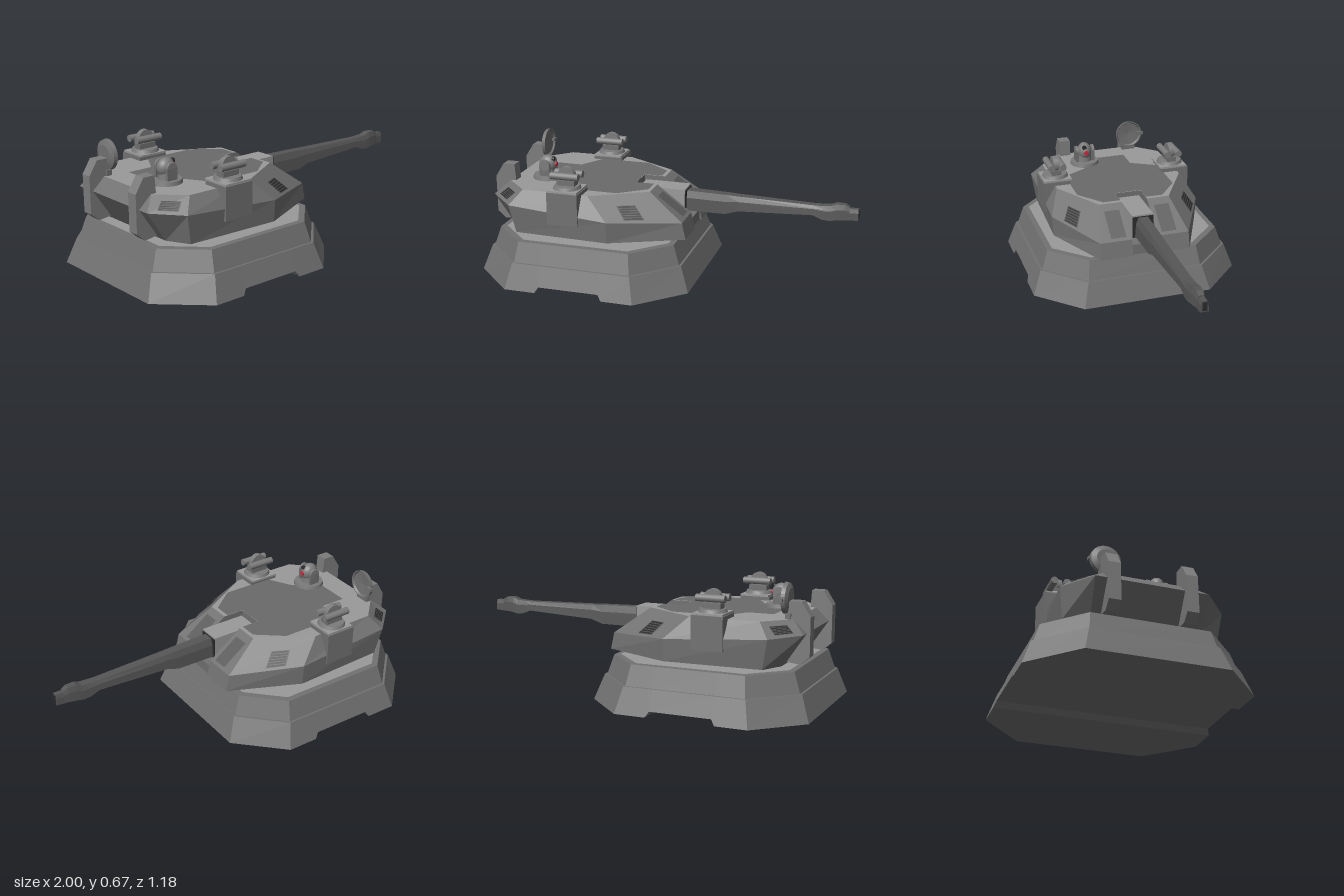
import * as THREE from 'three';

const paint = (color, flatShading = true) =>
  new THREE.MeshStandardMaterial({ color, flatShading, side: THREE.DoubleSide });
const body = paint(0x727272);
const smooth = paint(0x7c7c7c, false);
const light = paint(0x9a9a9a);
const dark = paint(0x6a6a6a);
const panel = paint(0x5c5c5c);
const steel = paint(0x565656);
const black = paint(0x2c2c2c);
const red = paint(0xd02840, false);

function add(parent, name, geo, mat, x = 0, y = 0, z = 0) {
  const m = new THREE.Mesh(geo, mat);
  m.name = name;
  m.position.set(x, y, z);
  parent.add(m);
  return m;
}
function box(parent, name, mat, x0, x1, y0, y1, z0, z1) {
  return add(parent, name, new THREE.BoxGeometry(x1 - x0, y1 - y0, z1 - z0), mat,
    (x0 + x1) / 2, (y0 + y1) / 2, (z0 + z1) / 2);
}
const outline = pts => new THREE.Shape(pts.map(p => new THREE.Vector2(...p)));
const mirror = half => half.map(([x, y, z]) => [x, y, -z]);
function geometry(tris) {
  const g = new THREE.BufferGeometry();
  g.setAttribute('position', new THREE.Float32BufferAttribute(tris.flat(), 3));
  g.computeVertexNormals();
  return g;
}
// Each ring lists its +z half; the -z half is mirrored. Rings are joined and, if wanted, both ends capped.
function loft(halves, capped = true) {
  const tris = [];
  const quad = (a, b, c, d) => tris.push(a, b, c, a, c, d);
  const rings = halves.map(h => [...h, ...mirror(h).reverse()]);
  for (let r = 0; r + 1 < rings.length; r++) {
    const a = rings[r], b = rings[r + 1];
    a.forEach((p, i) => {
      const j = (i + 1) % a.length;
      quad(p, a[j], b[j], b[i]);
    });
  }
  if (capped) {
    const first = halves[0], last = halves[halves.length - 1];
    const f2 = mirror(first), l2 = mirror(last);
    for (let i = 0; i + 1 < first.length; i++) {
      quad(f2[i], f2[i + 1], first[i + 1], first[i]);
      quad(last[i], last[i + 1], l2[i + 1], l2[i]);
    }
  }
  return geometry(tris);
}
// Flat horizontal plate from the +z half of its outline
function plate(parent, name, half, mat, y) {
  const pts = [...half, ...mirror(half).reverse()].map(([x, , z]) => [x, -z]);
  add(parent, name, new THREE.ShapeGeometry(outline(pts)), mat, 0, y, 0).rotation.x = -Math.PI / 2;
}
// A thin patch lying on the facet a-b (lower edge) and d-c (upper edge)
function patch([a, b, c, d], u0, u1, v0, v1, lift, skew = 0) {
  const [A, B, C, D] = [a, b, c, d].map(p => new THREE.Vector3(...p));
  const n = B.clone().sub(A).cross(D.clone().sub(A)).normalize().multiplyScalar(lift);
  const at = (u, v) => A.clone().lerp(B, u + skew * v).lerp(D.clone().lerp(C, u + skew * v), v).add(n).toArray();
  const q = [at(u0, v0), at(u1, v0), at(u1, v1), at(u0, v1)];
  return geometry([q[0], q[1], q[2], q[0], q[2], q[3]]);
}

// Octagonal plinth with a channel across its underside
function plinth(g) {
  const ring = (y, hx, cz, cx, hz, notch = 0) => [
    [-hx, y, cz], [-cx, y, hz], [-0.185, y, hz], [-0.165, y + notch, hz - notch * 0.35],
    [0.165, y + notch, hz - notch * 0.35], [0.185, y, hz], [cx, y, hz], [hx, y, cz]];
  add(g, 'plinth', loft([
    ring(0, 0.588, 0.36, 0.355, 0.588, 0.03),
    ring(0.135, 0.54, 0.325, 0.325, 0.54),
    ring(0.135, 0.528, 0.32, 0.32, 0.528),
    ring(0.24, 0.493, 0.305, 0.305, 0.493),
  ]), body, -0.412, 0, 0);
  plate(g, 'plinthTop', [[-0.875, 0, 0.29], [-0.702, 0, 0.463], [-0.122, 0, 0.463], [0.051, 0, 0.29]], light, 0.242);
  add(g, 'turretRing', new THREE.CylinderGeometry(0.325, 0.325, 0.04, 40), smooth, -0.39, 0.25, 0);
}

// Faceted turret body, notched at the front for the gun
function turret(g) {
  const low = [[-0.83, 0.255, 0.28], [-0.77, 0.255, 0.40], [-0.25, 0.255, 0.42], [0.13, 0.255, 0.25],
    [0.13, 0.255, 0.073], [-0.2, 0.255, 0.073]];
  const mid = [[-0.94, 0.42, 0.29], [-0.80, 0.41, 0.42], [-0.25, 0.37, 0.427], [0.11, 0.345, 0.25],
    [0.11, 0.345, 0.073], [-0.2, 0.345, 0.073]];
  const top = [[-0.87, 0.485, 0.23], [-0.74, 0.485, 0.36], [-0.37, 0.485, 0.365], [-0.08, 0.485, 0.20],
    [-0.08, 0.485, 0.073], [-0.2, 0.485, 0.073]];
  add(g, 'turretBody', loft([low, mid, top], false), body);
  plate(g, 'turretFloor', low, body, 0.255);
  plate(g, 'deck', top, light, 0.485);
  plate(g, 'deckPanel', [[-0.74, 0, 0.14], [-0.6, 0, 0.14], [-0.52, 0, 0.28], [-0.24, 0, 0.28],
    [-0.1, 0, 0.17], [-0.1, 0, 0.073], [-0.2, 0, 0.073]], dark, 0.487);
  box(g, 'gunSill', body, -0.2, 0.117, 0.256, 0.315, -0.073, 0.073);

  for (const s of [1, -1]) {
    const facet = i => {
      const f = [mid[i], mid[i + 1], top[i + 1], top[i]];
      return s > 0 ? f : mirror(f);
    };
    // Vents: a dark plate with slats
    for (const [name, i, u0, u1, v0] of [['frontVent', 2, 0.25, 0.53, 0.08], ['rearVent', 0, 0.22, 0.75, 0.15]]) {
      add(g, name, patch(facet(i), u0, u1, v0, v0 + 0.52, s * 0.003, 0.1), steel);
      for (let k = 0; k < 6; k++)
        add(g, name + 'Slat', patch(facet(i), u0 + 0.015, u1 - 0.015, v0 + 0.02 + k * 0.083, v0 + 0.08 + k * 0.083,
          s * 0.005, 0.1), black);
    }
    // Panels on the sloping front
    const slope = [[0.11, 0.345, 0], [0.11, 0.345, s], [-0.08, 0.485, s], [-0.08, 0.485, 0]];
    add(g, 'frontPanel', patch(slope, 0.1, 0.185, 0.08, 0.8, -s * 0.003), panel);
  }
}

// Main gun with breech cover and muzzle
function gun(g) {
  const section = ([x, yb, yt, w]) => [[x, yt, w * 0.6], [x, yt - (yt - yb) * 0.35, w * 0.9], [x, yb, w]];
  box(g, 'breechCover', light, -0.185, 0.07, 0.33, 0.463, -0.06, 0.06);
  box(g, 'breechFront', black, 0.065, 0.075, 0.335, 0.455, -0.058, 0.058);
  add(g, 'barrel', loft([[0, 0.343, 0.453, 0.046], [0.29, 0.343, 0.446, 0.042], [0.36, 0.365, 0.443, 0.04],
    [0.82, 0.385, 0.432, 0.033]].map(section)), steel);
  add(g, 'muzzle', loft([[0.76, 0.382, 0.433, 0.034], [0.81, 0.363, 0.435, 0.035], [0.85, 0.36, 0.438, 0.035],
    [0.88, 0.366, 0.45, 0.033], [0.925, 0.37, 0.45, 0.028], [0.95, 0.376, 0.436, 0.024]].map(section)), steel);
  add(g, 'muzzleTip', loft([[0.92, 0.367, 0.43, 0.023], [0.995, 0.372, 0.43, 0.021]].map(section)), steel);
  box(g, 'bore', black, 0.985, 1, 0.38, 0.425, -0.012, 0.012);
}

// Twin-tube secondary mount on a side sponson
function sideMount(g, s) {
  const m = new THREE.Group();
  m.name = s > 0 ? 'leftMount' : 'rightMount';
  m.position.set(-0.49, 0, s * 0.345);
  g.add(m);
  box(m, 'sponson', body, -0.085, 0.085, 0.33, 0.505, s > 0 ? -0.07 : -0.086, s > 0 ? 0.086 : 0.07);
  box(m, 'sponsonTop', light, -0.08, 0.08, 0.505, 0.515, -0.08, 0.08);
  add(m, 'turntable', new THREE.CylinderGeometry(0.068, 0.075, 0.018, 24), smooth, 0, 0.523, 0);
  box(m, 'pedestal', body, -0.05, 0.05, 0.53, 0.56, -0.026, 0.026);
  add(m, 'cradle', new THREE.CylinderGeometry(0.047, 0.047, 0.03, 24), smooth, 0, 0.584, 0).rotation.x = Math.PI / 2;
  for (const z of [-0.033, 0.033])
    add(m, 'tube', new THREE.CylinderGeometry(0.019, 0.019, 0.155, 16), smooth, 0, 0.586, z).rotation.z = Math.PI / 2;
}

// Ball-shaped sight in a yoke
function sight(g) {
  const m = new THREE.Group();
  m.name = 'sight';
  m.position.set(-0.695, 0, 0.115);
  g.add(m);
  add(m, 'sightBase', new THREE.CylinderGeometry(0.08, 0.084, 0.02, 32), smooth, 0, 0.495, 0);
  add(m, 'sightStem', new THREE.CylinderGeometry(0.038, 0.042, 0.05, 20), smooth, 0, 0.525, 0);
  add(m, 'sightBall', new THREE.SphereGeometry(0.05, 24, 16), smooth, 0, 0.562, 0).scale.z = 0.8;
  for (const z of [-0.048, 0.048]) {
    box(m, 'yokeArm', body, -0.03, 0.03, 0.50, 0.565, z - 0.007, z + 0.007);
    add(m, 'yokeCap', new THREE.CylinderGeometry(0.03, 0.03, 0.014, 20), smooth, 0, 0.565, z).rotation.x = Math.PI / 2;
  }
  for (const [name, mat, y, z, x] of [['redLens', red, 0.563, 0, 0.046], ['darkLens', black, 0.592, 0.008, 0.036]])
    add(m, name, new THREE.CylinderGeometry(0.013, 0.013, 0.014, 16), mat, x, y, z).rotation.z = Math.PI / 2;
}

// Rear posts and the dish carried by one of them
function rear(g) {
  const profile = outline([[-0.957, 0.30], [-0.91, 0.26], [-0.83, 0.27], [-0.84, 0.50], [-0.845, 0.575],
    [-0.91, 0.575], [-0.957, 0.50]]);
  for (const z of [-0.2, 0.195])
    add(g, 'rearPost', new THREE.ExtrudeGeometry(profile, { depth: 0.062, bevelEnabled: false }), smooth, 0, 0, z - 0.031);
  const m = new THREE.Group();
  m.name = 'dish';
  m.position.set(-0.828, 0.585, -0.2);
  g.add(m);
  const bowl = [[0, -0.018], [0.05, -0.018], [0.076, -0.008], [0.08, 0.012], [0.074, 0.012], [0.068, 0.002], [0, -0.004]];
  add(m, 'dishBowl', new THREE.LatheGeometry(bowl.map(p => new THREE.Vector2(...p)), 32), body).rotation.z = -Math.PI / 2;
  box(m, 'dishFeed', body, 0, 0.018, -0.008, 0.008, -0.088, -0.05);
  box(m, 'dishFoot', body, -0.03, 0, -0.1, -0.07, -0.04, 0.04);
}

export function createModel() {
  const g = new THREE.Group();
  g.name = 'gunTurret';
  plinth(g);
  turret(g);
  gun(g);
  for (const s of [1, -1]) sideMount(g, s);
  sight(g);
  rear(g);
  return g;
}
